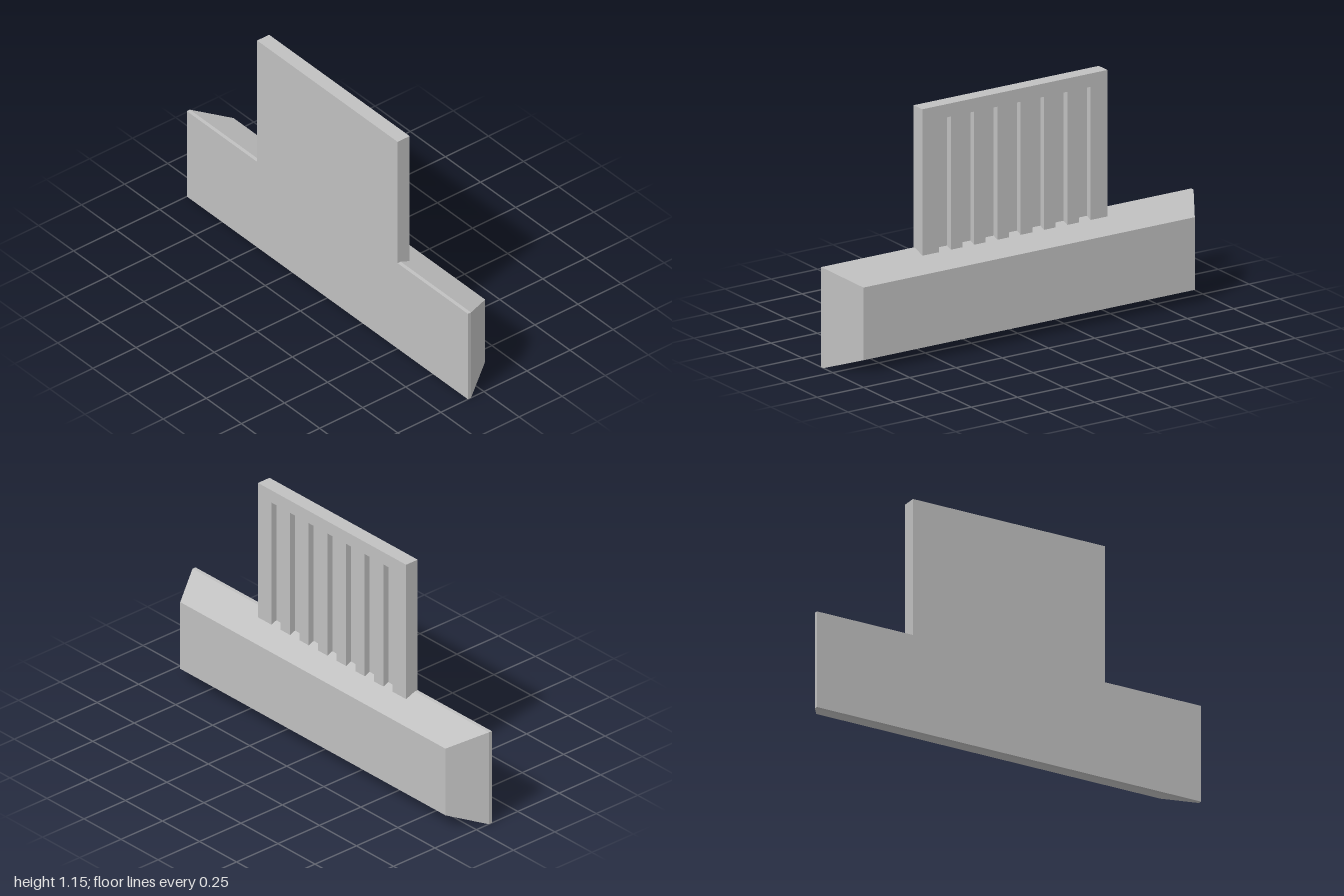
import * as THREE from 'three';

const FRONT = 0.093, RIM = 0.075, FLOOR = 0.053, TOWER_BACK = 0.023, BACK = -0.093;
const BASE_H = 0.475, TOP = 1.15, HALF = 0.5;

// Extrude an outline from z0 (back) to z1 (front)
function slab(points, z0, z1) {
  const shape = new THREE.Shape(points.map(([x, y]) => new THREE.Vector2(x, y)));
  const geo = new THREE.ExtrudeGeometry(shape, { depth: z1 - z0, bevelEnabled: false });
  return geo.translate(0, 0, z0);
}

export function createModel() {
  const model = new THREE.Group();
  model.name = 'panel';
  const grey = new THREE.MeshStandardMaterial({ color: 0xc0c0c0 });
  grey.name = 'grey';

  const add = (name, geo) => {
    const mesh = new THREE.Mesh(geo, grey);
    mesh.name = name;
    model.add(mesh);
  };

  // Flat front face: wide base and upright in one plate
  add('frontPlate', slab([
    [-1, 0], [1, 0], [1, BASE_H], [HALF, BASE_H], [HALF, TOP],
    [-HALF, TOP], [-HALF, BASE_H], [-1, BASE_H],
  ], RIM, FRONT));

  // Base body tapering towards the back
  const body = new THREE.BoxGeometry(2, BASE_H, RIM - BACK);
  const pos = body.attributes.position;
  for (let i = 0; i < pos.count; i++) {
    if (pos.getZ(i) < 0) {
      pos.setX(i, Math.sign(pos.getX(i)) * 0.895);
      pos.setY(i, Math.sign(pos.getY(i)) * (BASE_H / 2 - 0.065));
    }
  }
  body.computeVertexNormals();
  add('taperedBase', body.translate(0, BASE_H / 2, (RIM + BACK) / 2));

  // Upright core, forming the floor of the grooves
  add('uprightCore', slab([
    [-HALF, 0.42], [HALF, 0.42], [HALF, TOP], [-HALF, TOP],
  ], FLOOR, RIM));

  // Comb on the back: seven grooves open at the bottom
  const bottom = 0.42, grooveTop = 1.087, width = 0.063, pitch = 0.126;
  const comb = [[HALF, bottom], [HALF, TOP], [-HALF, TOP], [-HALF, bottom]];
  for (let i = -3; i <= 3; i++) {
    const l = i * pitch - width / 2, r = l + width;
    comb.push([l, bottom], [l, grooveTop], [r, grooveTop], [r, bottom]);
  }
  add('groovedBack', slab(comb, TOWER_BACK, FLOOR));

  return model;
}
